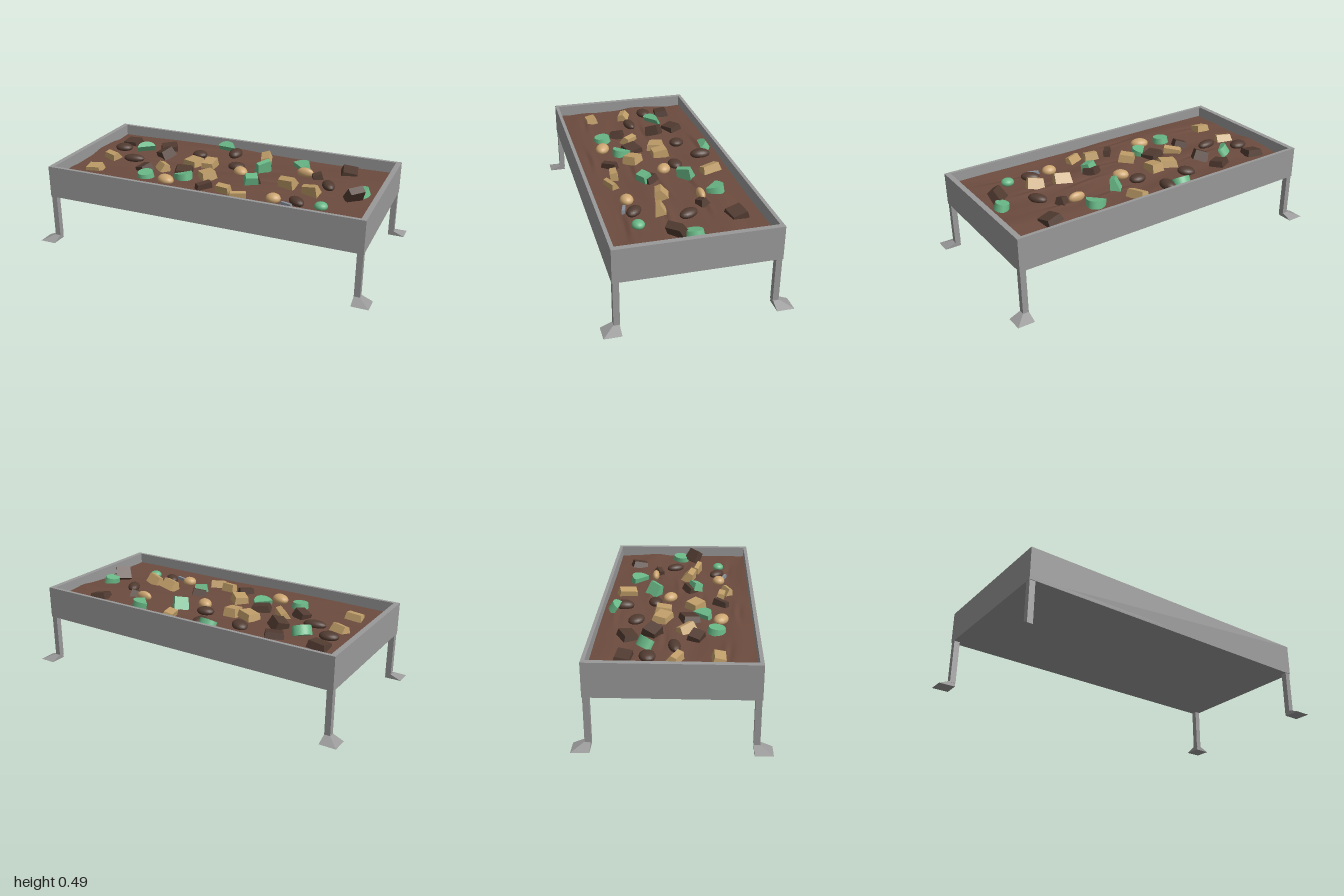
import * as THREE from 'three';

const mat = (name, color, opts = {}) => {
  const m = new THREE.MeshStandardMaterial({ color, ...opts });
  m.name = name;
  return m;
};

export function createModel() {
  const group = new THREE.Group();
  const metal = mat('grey metal', 0x999999);
  const soilMat = mat('brown soil', 0x6c4b3e);
  const dark = mat('dark brown stone', 0x513b31);
  const tan = mat('tan stone', 0xbf9d68);
  const pebble = mat('light tan pebble', 0xcda671);
  const green = mat('green stone', 0x69b887);
  const steel = mat('blue grey shard', 0x8a909a);

  const add = (name, geo, material, x = 0, y = 0, z = 0, parent = group) => {
    const m = new THREE.Mesh(geo, material);
    m.name = name;
    m.position.set(x, y, z);
    parent.add(m);
    return m;
  };

  // Tray: floor and four walls
  const X = 0.94, Z = 0.44, Y0 = 0.277, Y1 = 0.465, TX = 0.03, TZ = 0.02;
  const H = Y1 - Y0, YM = (Y0 + Y1) / 2;
  add('trayFloor', new THREE.BoxGeometry(2 * X, 0.02, 2 * Z), metal, 0, Y0 + 0.01, 0);
  for (const s of [-1, 1]) {
    add('longWall', new THREE.BoxGeometry(2 * X, H, TZ), metal, 0, YM, s * (Z - TZ / 2));
    add('endWall', new THREE.BoxGeometry(TX, H, 2 * (Z - TZ)), metal, s * (X - TX / 2), YM, 0);
  }

  // Legs with flared feet that slope down to the outside
  for (const sx of [-1, 1]) for (const sz of [-1, 1]) {
    add('leg', new THREE.BoxGeometry(0.033, 0.26, 0.033), metal, sx * 0.921, 0.15, sz * 0.42);
    const foot = new THREE.BoxGeometry(0.095, 0.025, 0.095);
    const p = foot.attributes.position;
    for (let i = 0; i < p.count; i++) {
      if (p.getY(i) < 0) continue;
      if (p.getX(i) * sx > 0) p.setX(i, -sx * 0.0125);
      if (p.getZ(i) * sz > 0) p.setZ(i, -sz * 0.0125);
    }
    const flat = foot.toNonIndexed();
    flat.computeVertexNormals();
    add('foot', flat, metal, sx * 0.9525, 0.0125, sz * 0.4525);
  }

  // Soil: gentle swells with short sharp creases running along the tray
  const creases = [[-0.22, -0.33], [0.03, 0.12], [0.55, 0.08], [0.5, -0.15], [0.28, 0],
    [-0.7, 0.27], [-0.15, 0.35], [0.62, 0.3], [-0.5, -0.08], [0.2, -0.18]];
  const soilY = (x, z) => {
    let y = 0.403 + 0.006 * Math.sin(4 * x + 9 * z) + 0.004 * Math.sin(17 * z - 3 * x + 1)
      + 0.0015 * Math.sin(38 * z + 5 * Math.sin(3 * x));
    for (const [cx, cz] of creases) {
      const d = (z - cz - 0.012 * Math.sin(9 * x)) / 0.02;
      y -= 0.012 * d * Math.exp(-d * d - ((x - cx) / 0.13) ** 2);
    }
    return y;
  };
  const soil = new THREE.PlaneGeometry(2 * (X - TX), 2 * (Z - TZ), 100, 90).rotateX(-Math.PI / 2);
  const sp = soil.attributes.position;
  for (let i = 0; i < sp.count; i++) sp.setY(i, soilY(sp.getX(i), sp.getZ(i)));
  soil.computeVertexNormals();
  add('soil', soil, soilMat);

  // Stone shapes, each about one unit across
  const taper = (tx, tz, lean) => {
    const g = new THREE.BoxGeometry(1, 1, 1);
    const p = g.attributes.position;
    for (let i = 0; i < p.count; i++) if (p.getY(i) > 0) {
      p.setX(i, p.getX(i) * tx + lean);
      p.setZ(i, p.getZ(i) * tz);
    }
    const flat = g.toNonIndexed();
    flat.computeVertexNormals();
    return flat;
  };
  const half = new THREE.Shape();
  half.absarc(0, -0.35, 0.5, 0, Math.PI, false);
  half.closePath();
  const shapes = {
    chunk: taper(0.85, 0.85, 0.03),
    wedge: taper(0.9, 0.45, 0.05),
    oval: new THREE.SphereGeometry(0.5, 18, 12),
    disc: new THREE.CylinderGeometry(0.44, 0.5, 1, 18),
    half: new THREE.ExtrudeGeometry(half, { depth: 1, bevelEnabled: false, curveSegments: 14 })
      .translate(0, 0, -0.5).rotateX(-Math.PI / 2),
  };

  // Rows: x, z, width, depth, height, turn, tilt x, tilt z, shape, lift
  const scatter = (name, material, rows) => {
    for (const [x, z, w, d, h, turn, tx, tz, shape, lift = 0.012] of rows) {
      const m = add(name, shapes[shape], material, x, soilY(x, z) + lift, z);
      m.scale.set(w, h, d);
      m.rotation.set(tx, turn, tz, 'YXZ');
    }
  };
  scatter('darkStone', dark, [
    [-0.77, -0.25, 0.11, 0.09, 0.04, -0.1, 0.15, 0.1, 'chunk'],
    [-0.505, -0.25, 0.11, 0.09, 0.04, 0.5, 0.15, 0.1, 'chunk'],
    [-0.465, -0.125, 0.09, 0.09, 0.06, -0.5, 0.3, 0.3, 'chunk', 0.02],
    [-0.245, 0.07, 0.11, 0.1, 0.04, 0.35, 0.1, -0.1, 'chunk'],
    [-0.49, 0.11, 0.085, 0.08, 0.05, -0.4, 0.2, 0.3, 'chunk'],
    [-0.035, 0.25, 0.1, 0.04, 0.045, 0.9, 0.1, 0.1, 'chunk'],
    [0.67, -0.28, 0.1, 0.1, 0.04, 0.2, 0.2, -0.15, 'chunk'],
    [0.79, 0.08, 0.1, 0.05, 0.08, 0.8, 0.6, 0.1, 'chunk', 0.04],
    [0.19, 0.075, 0.09, 0.08, 0.04, 0.6, 0.2, 0.2, 'chunk'],
    [0.515, -0.14, 0.06, 0.07, 0.05, 0.5, 0.2, 0.3, 'wedge'],
  ]);
  scatter('darkPebble', dark, [
    [-0.765, -0.13, 0.11, 0.085, 0.05, 0.1, 0, 0, 'oval'],
    [-0.62, 0, 0.13, 0.065, 0.05, 0.15, 0, 0, 'oval'],
    [-0.275, -0.225, 0.105, 0.085, 0.05, -0.6, 0, 0.1, 'oval'],
    [-0.07, -0.315, 0.08, 0.12, 0.06, 0, 0, 0, 'oval'],
    [0.01, -0.135, 0.105, 0.08, 0.05, 0.1, 0, 0, 'oval'],
    [0.51, 0.23, 0.11, 0.07, 0.05, -0.7, 0, 0, 'oval'],
    [0.61, -0.04, 0.07, 0.115, 0.05, 0.5, 0, 0, 'oval'],
  ]);
  scatter('tanStone', tan, [
    [-0.77, 0.01, 0.1, 0.075, 0.05, -0.4, 0.3, 0, 'wedge'],
    [-0.76, 0.23, 0.1, 0.07, 0.04, 0.05, 0.2, 0.1, 'chunk'],
    [-0.39, 0.05, 0.11, 0.07, 0.05, -0.8, -0.3, 0.1, 'wedge'],
    [-0.25, -0.08, 0.11, 0.09, 0.04, -0.4, 0.1, 0.05, 'chunk', 0.02],
    [-0.145, -0.08, 0.08, 0.1, 0.05, 0.02, 0.15, 0, 'chunk', 0.02],
    [-0.08, 0.1, 0.095, 0.09, 0.05, -0.75, 0.1, 0.1, 'chunk', 0.015],
    [0.135, -0.31, 0.06, 0.12, 0.05, 0.3, 0.1, 0.3, 'chunk'],
    [0.395, 0.06, 0.1, 0.08, 0.06, -0.2, 0.4, 0.1, 'wedge', 0.025],
    [0.545, 0.1, 0.1, 0.06, 0.06, -0.2, 0.3, 0.2, 'wedge', 0.025],
    [0.085, 0.25, 0.09, 0.045, 0.05, -0.15, 0.2, 0, 'chunk', 0.02],
    [0.185, 0.29, 0.1, 0.05, 0.05, 0.4, 0.3, 0, 'wedge'],
  ]);
  scatter('tanPebble', pebble, [
    [0.07, -0.05, 0.095, 0.075, 0.06, -0.6, 0, 0, 'oval'],
    [0.435, -0.16, 0.1, 0.045, 0.06, 0, 0, 0, 'oval', 0.02],
    [-0.275, 0.245, 0.11, 0.08, 0.06, -0.4, 0, 0, 'oval'],
    [0.38, 0.24, 0.085, 0.075, 0.06, 0, 0, 0, 'oval'],
  ]);
  scatter('greenStone', green, [
    [-0.42, 0.22, 0.1, 0.105, 0.035, 0, 0.1, 0, 'disc', 0.015],
    [-0.63, -0.165, 0.11, 0.08, 0.055, 0.7, 0.6, 0, 'half', 0.03],
    [-0.14, -0.37, 0.11, 0.09, 0.05, -0.1, 0.6, 0, 'half', 0.03],
    [0.4, -0.28, 0.11, 0.15, 0.045, -0.8, 0.2, 0, 'half', 0.018],
    [0.175, -0.145, 0.09, 0.06, 0.08, 0.9, 0.3, 0.2, 'wedge', 0.03],
    [-0.185, 0.165, 0.11, 0.14, 0.045, -2.3, 0.2, 0, 'half', 0.015],
    [0.195, 0.1, 0.08, 0.06, 0.045, 0.5, 0.3, 0, 'chunk', 0.03],
    [0.81, -0.01, 0.085, 0.105, 0.04, -0.3, 0.1, 0.2, 'disc', 0.018],
    [0.65, 0.24, 0.075, 0.07, 0.05, 0, 0, 0, 'oval'],
  ]);
  scatter('greyShard', steel, [[0.465, 0.275, 0.075, 0.018, 0.02, -0.3, 0, 0, 'chunk', 0.008]]);

  return group;
}
